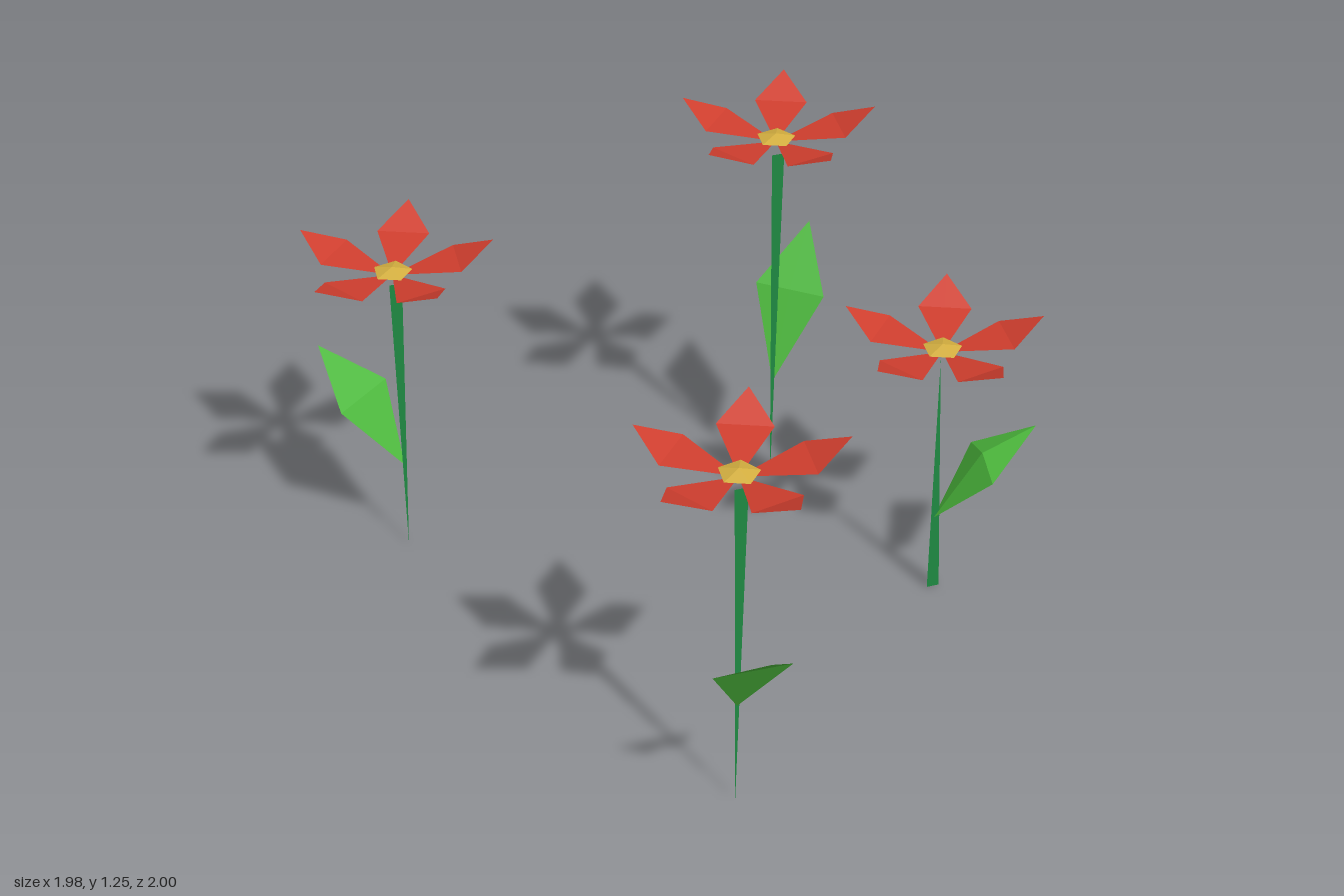
import * as THREE from 'three';

const flat = (color, name) => new THREE.MeshStandardMaterial({ color, name, side: THREE.DoubleSide, flatShading: true });

// Builds a faceted surface from a list of triangles, each made of three corners.
function facets(triangles) {
  const geometry = new THREE.BufferGeometry();
  geometry.setAttribute('position', new THREE.Float32BufferAttribute(triangles.flat(2), 3));
  geometry.computeVertexNormals();
  return geometry;
}

// Kite blade pointing to +x: root, wide middle and tip are [distance, height];
// ridge lifts the centre of the middle above its two corners.
function blade(root, middle, tip, halfWidth, ridge = 0) {
  const r = [root[0], root[1], 0];
  const t = [tip[0], tip[1], 0];
  const m = [middle[0], middle[1] + ridge, 0];
  const a = [middle[0], middle[1], halfWidth];
  const b = [middle[0], middle[1], -halfWidth];
  return facets([[r, a, m], [r, m, b], [a, t, m], [m, t, b]]);
}

export function createModel() {
  const model = new THREE.Group();
  model.name = 'flowers';
  const petalRed = flat(0xcf3e2e, 'petalRed');
  const centreGold = flat(0xd4af40, 'centreGold');
  const leafGreen = flat(0x4cb83c, 'leafGreen');
  const stemGreen = flat(0x1f8a42, 'stemGreen');

  const petalGeometry = blade([0, -0.01], [0.185, 0.02], [0.29, 0.068], 0.075);
  const centreGeometry = new THREE.ConeGeometry(0.057, 0.014, 5).rotateY(Math.PI / 2);

  function addMesh(parent, name, geometry, material) {
    const mesh = new THREE.Mesh(geometry, material);
    mesh.name = name;
    parent.add(mesh);
    return mesh;
  }

  function addFlower({ x, z, height, leafAngle, ridge = 0, wideFoot = false }) {
    const flower = new THREE.Group();
    flower.name = 'flower';
    flower.position.set(x, 0, z);

    // Stem: a thin blade tapering to a point at one end
    const top = height * 0.955;
    const wide = wideFoot ? 0 : top;
    const point = wideFoot ? top : 0;
    addMesh(flower, 'stem', facets([[
      [-0.011, wide, 0.002], [0.026, wide, -0.002], [-0.003, point, 0],
    ]]), stemGreen);

    // Leaf: folded blade growing out of the stem
    const leaf = addMesh(flower, 'leaf', blade(
      [0, height * 0.3], [0.135, height * 0.507], [0.29, height * 0.637], 0.108, ridge,
    ), leafGreen);
    leaf.rotation.y = -THREE.MathUtils.degToRad(leafAngle);

    // Head: five petals around a low centre
    const head = new THREE.Group();
    head.name = 'flowerHead';
    head.position.y = height;
    for (let i = 0; i < 5; i++) {
      addMesh(head, 'petal', petalGeometry, petalRed).rotation.y = (i * Math.PI * 2) / 5;
    }
    addMesh(head, 'flowerCentre', centreGeometry, centreGold).position.y = 0.009;
    flower.add(head);
    model.add(flower);
  }

  addFlower({ x: -0.755, z: -0.635, height: 0.945, leafAngle: 224 });
  addFlower({ x: -0.065, z: 0.7, height: 1.065, leafAngle: 86 });
  addFlower({ x: 0.373, z: -0.73, height: 1.185, leafAngle: -55 });
  addFlower({ x: 0.7, z: -0.095, height: 0.825, leafAngle: 0, ridge: 0.035, wideFoot: true });
  return model;
}
